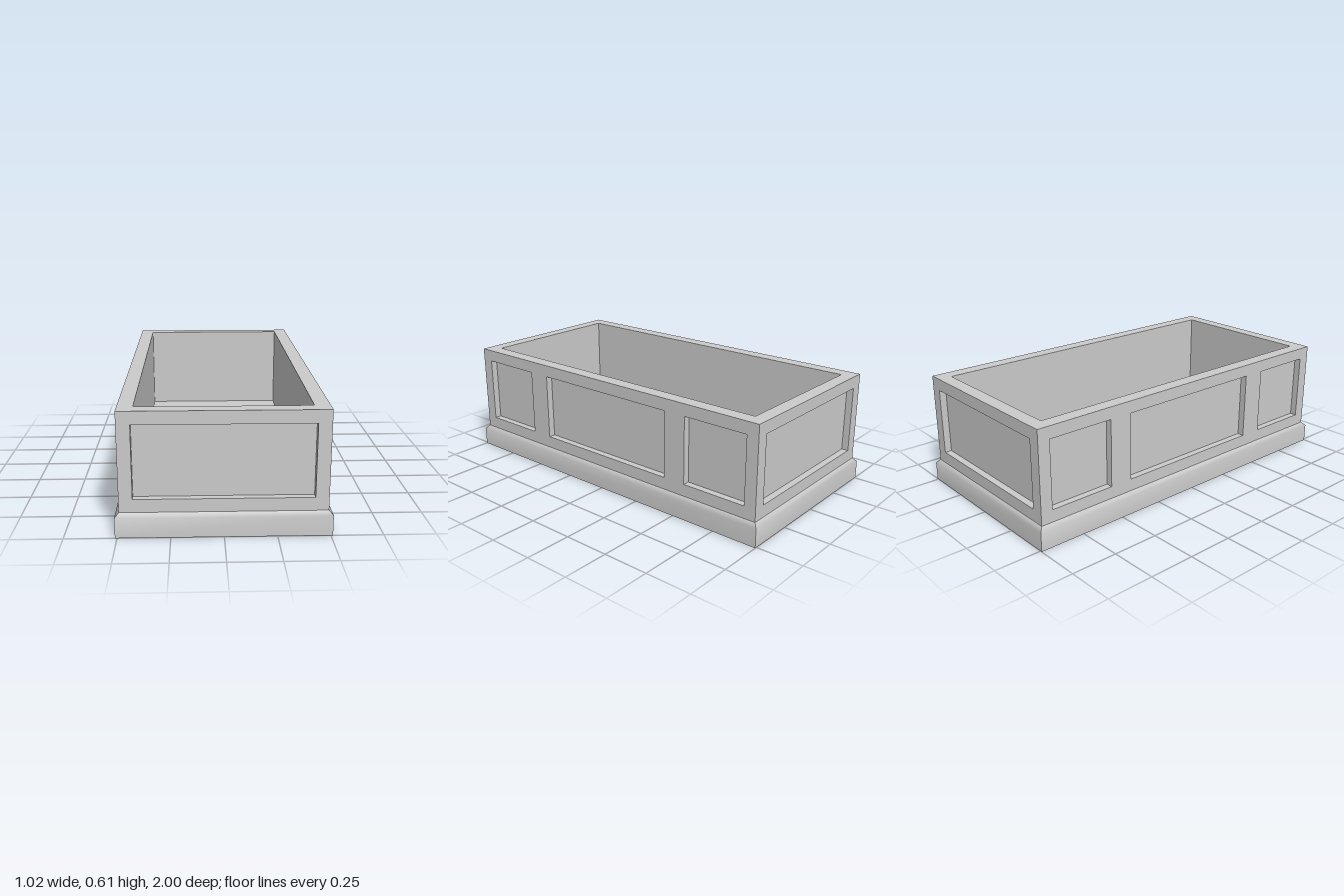
import * as THREE from 'three';

const material = new THREE.MeshStandardMaterial({ color: 0xcccccc });
const BODY_X = 0.49, BODY_Z = 0.98;      // half sizes of the walls
const BASE_X = 0.51, BASE_Z = 1;         // half sizes of the plinth
const PLINTH_TOP = 0.12, RIM = 0.61;
const WALL_H = RIM - PLINTH_TOP;

function addMesh(parent, geometry, name) {
  const mesh = new THREE.Mesh(geometry, material);
  mesh.name = name;
  parent.add(mesh);
  return mesh;
}

function rectangle(target, x, y, w, h) {
  target.moveTo(x - w / 2, y - h / 2);
  target.lineTo(x + w / 2, y - h / 2);
  target.lineTo(x + w / 2, y + h / 2);
  target.lineTo(x - w / 2, y + h / 2);
  target.closePath();
  return target;
}

// Inward-facing box, open towards +z, its mouth on z = 0
function recessGeometry(x, y, w, h, depth) {
  const box = new THREE.BoxGeometry(w, h, depth);
  const index = Array.from(box.index.array);
  index.splice(24, 6);                   // drop the +z face
  box.setIndex(index.reverse());         // turn the rest inside out
  const inside = box.toNonIndexed();
  inside.computeVertexNormals();
  return inside.translate(x, y, -depth / 2);
}

// Flat face in the xy plane with rectangular recesses sunk into it
function recessedFace(name, w, h, recesses, depth, recessName) {
  const group = new THREE.Group();
  group.name = name;
  const shape = rectangle(new THREE.Shape(), 0, 0, w, h);
  for (const [x, y, rw, rh] of recesses) {
    shape.holes.push(rectangle(new THREE.Path(), x, y, rw, rh));
    addMesh(group, recessGeometry(x, y, rw, rh, depth), recessName);
  }
  addMesh(group, new THREE.ShapeGeometry(shape), name + 'Frame');
  return group;
}

// One plinth side: upright board with a softly shaded bevel on top
function plinthSide(halfWidth, halfDepth) {
  const inset = BASE_X - BODY_X;
  const profile = [[0, 0], [0, PLINTH_TOP - 0.02], [inset, PLINTH_TOP]];
  const positions = [], index = [];
  profile.forEach(([d, y], i) => {
    positions.push(-halfWidth + d, y, halfDepth - d, halfWidth - d, y, halfDepth - d);
    if (i < profile.length - 1) {
      const a = i * 2;
      index.push(a, a + 1, a + 3, a, a + 3, a + 2);
    }
  });
  const geometry = new THREE.BufferGeometry();
  geometry.setAttribute('position', new THREE.Float32BufferAttribute(positions, 3));
  geometry.setIndex(index);
  geometry.computeVertexNormals();
  return geometry;
}

export function createModel() {
  const model = new THREE.Group();
  model.name = 'panelledBox';

  // Walls and plinth boards, one pair per quarter turn
  const panelH = 0.36, panelDepth = 0.037;
  const endPanels = [[0, 0, 0.85, panelH]];
  const sidePanels = [[-0.735, 0, 0.36, panelH], [0, 0, 0.855, panelH], [0.735, 0, 0.36, panelH]];
  ['front', 'left', 'back', 'right'].forEach((side, i) => {
    const isEnd = i % 2 === 0;
    const turn = new THREE.Group();
    turn.name = side + 'Side';
    turn.rotation.y = i * Math.PI / 2;
    const wall = recessedFace(side + 'Wall', 2 * (isEnd ? BODY_X : BODY_Z), WALL_H,
      isEnd ? endPanels : sidePanels, panelDepth, 'sunkenPanel');
    wall.position.set(0, PLINTH_TOP + WALL_H / 2, isEnd ? BODY_Z : BODY_X);
    turn.add(wall);
    addMesh(turn, isEnd ? plinthSide(BASE_X, BASE_Z) : plinthSide(BASE_Z, BASE_X), side + 'Plinth');
    model.add(turn);
  });

  // Rim with the deep open cavity
  const rim = recessedFace('rim', 2 * BODY_X, 2 * BODY_Z, [[0, 0, 0.83, 1.815]], WALL_H, 'cavity');
  rim.rotation.x = -Math.PI / 2;
  rim.position.y = RIM;
  model.add(rim);

  // Underside
  const bottom = addMesh(model, new THREE.PlaneGeometry(2 * BASE_X, 2 * BASE_Z), 'underside');
  bottom.rotation.x = Math.PI / 2;

  return model;
}
